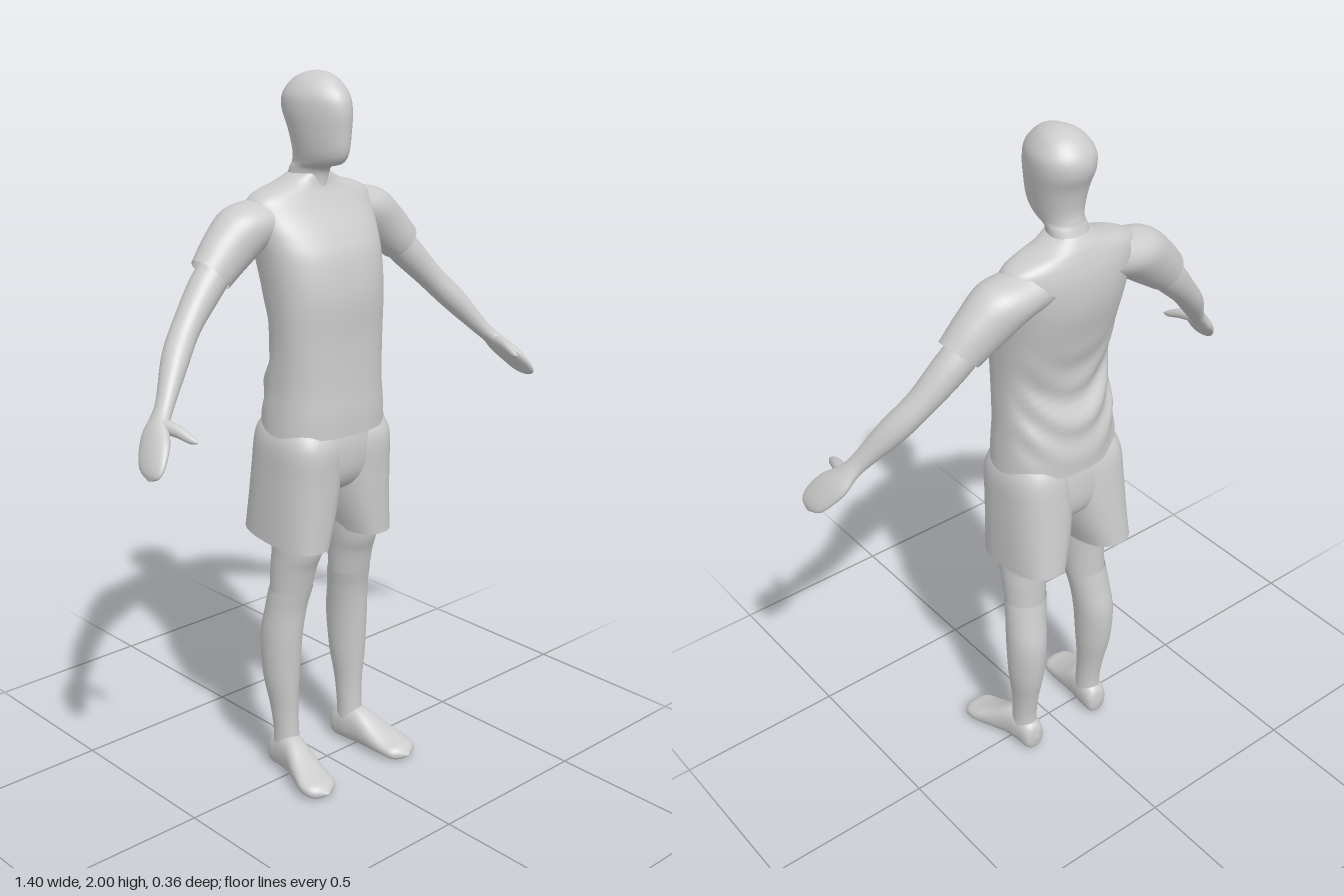
import * as THREE from 'three';

const X = [1, 0, 0], Y = [0, 1, 0], Z = [0, 0, 1];

// Smooth skin through stations [x, y, z, radiusU, radiusV]; power squares off the section.
// taper narrows the section towards +v; side = -1 mirrors the part in x.
function loft(name, stations, { u = X, v = Z, power = 2, taper = 0, side = 1, around = 40, steps = 6, shape } = {}) {
  const U = new THREE.Vector3(...u), V = new THREE.Vector3(...v);
  const path = new THREE.CatmullRomCurve3(stations.map(s => new THREE.Vector3(s[0], s[1], s[2])), false, 'catmullrom');
  const radii = new THREE.CatmullRomCurve3(stations.map(s => new THREE.Vector3(s[3], s[4], 0)), false, 'catmullrom');
  const rows = (stations.length - 1) * steps;
  const round = t => Math.sign(t) * Math.abs(t) ** (2 / power);
  const pos = [], index = [];
  for (let i = 0; i <= rows; i++) {
    const c = path.getPoint(i / rows), r = radii.getPoint(i / rows);
    for (let j = 0; j < around; j++) {
      const a = j / around * Math.PI * 2, cu = round(Math.cos(a)), sv = round(Math.sin(a));
      const p = c.clone().addScaledVector(U, cu * r.x * (1 - taper * sv)).addScaledVector(V, sv * r.y);
      if (shape) shape(p);
      pos.push(p.x * side, p.y, p.z);
    }
  }
  const along = path.getPoint(1).sub(path.getPoint(0));
  const outward = U.clone().cross(V).dot(along) * side > 0;
  for (let i = 0; i < rows; i++) for (let j = 0; j < around; j++) {
    const a = i * around + j, b = i * around + (j + 1) % around, c = a + around, d = b + around;
    if (outward) index.push(a, b, c, b, d, c);
    else index.push(a, c, b, b, c, d);
  }
  const geo = new THREE.BufferGeometry();
  geo.setAttribute('position', new THREE.Float32BufferAttribute(pos, 3));
  geo.setIndex(index);
  geo.computeVertexNormals();
  const mesh = new THREE.Mesh(geo, new THREE.MeshStandardMaterial({ color: 0xcccccc, side: THREE.DoubleSide }));
  mesh.name = name;
  return mesh;
}

// Upright centred section from [y, half width, front z, back z]
const upright = rows => rows.map(([y, w, f, b]) => [0, y, (f + b) / 2, w, (f - b) / 2]);

// Hanging folds that sag in a U across the lower back
function drape(p) {
  if (p.z > -0.04) return;
  const sag = p.y - 1.19 - 5 * p.x * p.x;
  const fade = Math.min(1, (-0.04 - p.z) / 0.05) * Math.exp(-(((p.y - 1.24) / 0.12) ** 2));
  p.z -= 0.009 * fade * Math.cos(sag * 55);
}

function createArm(side) {
  const arm = new THREE.Group();
  arm.name = side > 0 ? 'leftArm' : 'rightArm';
  const opts = { u: [0.707, 0.707, 0], side };
  arm.add(
    loft('sleeve', [
      [0.12, 1.63, -0.085, 0.07, 0.075], [0.21, 1.608, -0.083, 0.076, 0.078],
      [0.28, 1.557, -0.078, 0.071, 0.066], [0.342, 1.502, -0.07, 0.06, 0.056],
    ], opts),
    loft('bareArm', [
      [0.28, 1.55, -0.077, 0.045, 0.045], [0.36, 1.475, -0.066, 0.047, 0.046],
      [0.44, 1.392, -0.045, 0.038, 0.041], [0.51, 1.315, -0.01, 0.035, 0.041],
      [0.58, 1.227, 0.038, 0.023, 0.029], [0.61, 1.195, 0.057, 0.02, 0.035],
      [0.64, 1.16, 0.08, 0.021, 0.054], [0.67, 1.122, 0.103, 0.017, 0.054],
      [0.69, 1.092, 0.118, 0.011, 0.04], [0.698, 1.077, 0.124, 0.001, 0.004],
    ], opts),
    loft('thumb', [
      [0.617, 1.19, 0.065, 0.018, 0.02], [0.602, 1.182, 0.12, 0.015, 0.016],
      [0.592, 1.168, 0.16, 0.01, 0.011], [0.587, 1.163, 0.18, 0.001, 0.001],
    ], { u: X, v: Y, side, around: 20 }),
  );
  return arm;
}

function createLeg(side) {
  const leg = new THREE.Group();
  leg.name = side > 0 ? 'leftLeg' : 'rightLeg';
  leg.add(
    loft('shortsLeg', [
      [0.083, 1.08, -0.016, 0.082, 0.1], [0.092, 1.02, -0.017, 0.096, 0.128],
      [0.094, 0.92, -0.025, 0.099, 0.134], [0.103, 0.82, -0.032, 0.092, 0.138],
      [0.117, 0.73, -0.038, 0.079, 0.142],
    ], { v: [0, -0.1, 1], power: 2.5, side }),
    loft('thigh', [
      [0.1, 0.9, -0.015, 0.075, 0.095], [0.103, 0.72, -0.008, 0.068, 0.082],
      [0.109, 0.64, -0.02, 0.064, 0.068], [0.113, 0.56, -0.03, 0.06, 0.058],
    ], { side }),
    loft('lowerLeg', [
      [0.112, 0.575, -0.029, 0.0635, 0.0615], [0.12, 0.51, -0.042, 0.06, 0.06],
      [0.128, 0.42, -0.054, 0.057, 0.065], [0.13, 0.3, -0.053, 0.05, 0.058],
      [0.128, 0.2, -0.045, 0.038, 0.045], [0.126, 0.12, -0.038, 0.035, 0.04],
      [0.127, 0.05, -0.036, 0.038, 0.045],
    ], { side }),
    loft('foot', [
      [0.125, 0.045, -0.097, 0.002, 0.003], [0.125, 0.046, -0.086, 0.032, 0.044],
      [0.127, 0.058, -0.04, 0.039, 0.058], [0.134, 0.056, 0.01, 0.041, 0.056],
      [0.147, 0.039, 0.07, 0.05, 0.039], [0.158, 0.027, 0.12, 0.055, 0.027],
      [0.16, 0.02, 0.16, 0.045, 0.02], [0.161, 0.016, 0.184, 0.002, 0.002],
    ], { u: X, v: Y, power: 2.3, side }),
  );
  return leg;
}

export function createModel() {
  const model = new THREE.Group();
  model.name = 'standingFigure';

  model.add(
    // Egg-shaped head running down into the neck
    loft('headAndNeck', upright([
      [1.66, 0.07, -0.005, -0.135], [1.71, 0.057, -0.012, -0.13], [1.748, 0.053, 0, -0.117],
      [1.765, 0.053, 0.052, -0.112], [1.795, 0.06, 0.073, -0.108], [1.85, 0.071, 0.078, -0.118],
      [1.9, 0.079, 0.079, -0.137], [1.94, 0.077, 0.068, -0.134], [1.975, 0.056, 0.036, -0.106],
      [1.993, 0.03, 0.005, -0.072], [2.0, 0.001, -0.032, -0.034],
    ]), { taper: 0.22 }),
    // Loose shirt body up to the collar
    loft('shirt', upright([
      [1.04, 0.182, 0.118, -0.152], [1.1, 0.178, 0.118, -0.15], [1.18, 0.172, 0.113, -0.138],
      [1.3, 0.171, 0.11, -0.112], [1.42, 0.178, 0.112, -0.136], [1.52, 0.187, 0.095, -0.16],
      [1.58, 0.195, 0.066, -0.167], [1.635, 0.204, 0.026, -0.164], [1.673, 0.197, 0.002, -0.155],
      [1.695, 0.16, -0.01, -0.147], [1.712, 0.1, -0.015, -0.139], [1.735, 0.053, -0.018, -0.122],
    ]), { power: 2.35, around: 72, shape: drape }),
    // Seat of the shorts bridging the two legs
    loft('shortsSeat', upright([
      [1.07, 0.16, 0.1, -0.13], [1.0, 0.175, 0.11, -0.145], [0.92, 0.165, 0.1, -0.145],
      [0.87, 0.11, 0.06, -0.115], [0.845, 0.002, -0.025, -0.03],
    ]), { power: 2.3 }),
  );

  for (const side of [1, -1]) model.add(createArm(side), createLeg(side));
  return model;
}
